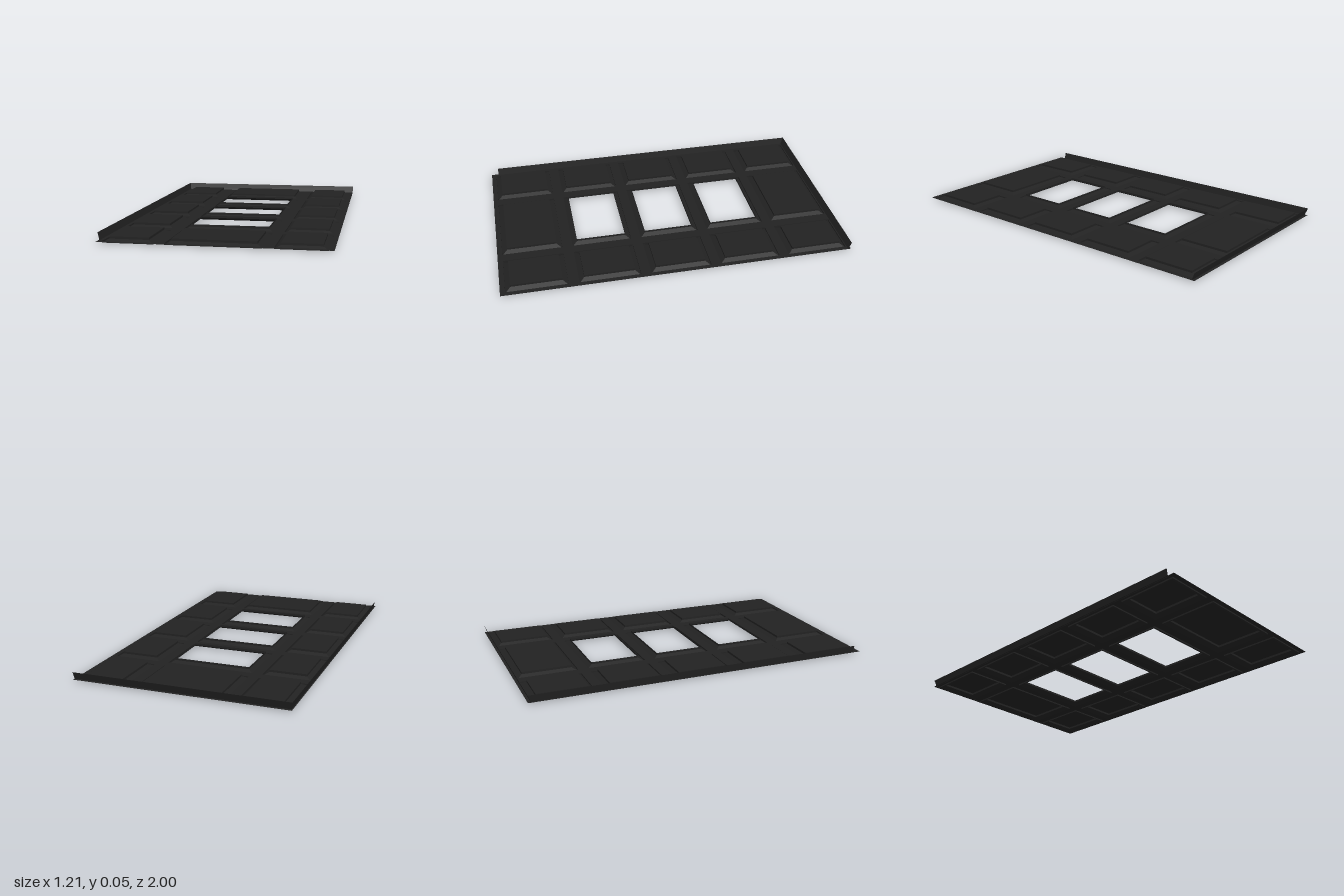
import * as THREE from 'three';

const black = new THREE.MeshStandardMaterial({ color: 0x222222, side: THREE.DoubleSide });
black.name = 'black';

const SHEET_Y = 0.008, FIELD_Y = 0.028;
const ROWS = [-0.805, -0.405, -0.005, 0.397, 0.8];
const HALF_DEPTH = 0.172, MARGIN = 0.03;
const COLUMNS = [
  { x: -0.443, half: 0.135 },
  { x: 0, half: 0.25 },
  { x: 0.443, half: 0.135 },
];

// Flat-shaded mesh from a list of four-cornered faces
function quads(name, faces) {
  const points = [];
  for (const [a, b, c, d] of faces) points.push(...a, ...b, ...c, ...a, ...c, ...d);
  const geometry = new THREE.BufferGeometry();
  geometry.setAttribute('position', new THREE.Float32BufferAttribute(points, 3));
  geometry.computeVertexNormals();
  const mesh = new THREE.Mesh(geometry, black);
  mesh.name = name;
  return mesh;
}

// Rectangle loop, counterclockwise seen from above
function loop(hx, hz, y) {
  return [[-hx, y, hz], [hx, y, hz], [hx, y, -hz], [-hx, y, -hz]];
}

// Pressed panel: a drop at the rim, a sloping border, then a raised field or an opening
function panel(name, half, open) {
  const loops = [
    loop(half, HALF_DEPTH, SHEET_Y),
    loop(half, HALF_DEPTH, 0),
    loop(half - MARGIN, HALF_DEPTH - MARGIN, 0.016),
    loop(half - MARGIN, HALF_DEPTH - MARGIN, FIELD_Y),
  ];
  const faces = [];
  for (let k = 0; k < loops.length - 1; k++) {
    for (let i = 0; i < 4; i++) {
      const j = (i + 1) % 4;
      faces.push([loops[k][i], loops[k][j], loops[k + 1][j], loops[k + 1][i]]);
    }
  }
  if (!open) faces.push(loops[3]);
  return quads(name, faces);
}

export function createModel() {
  const group = new THREE.Group();
  group.name = 'panelledDoor';

  // Thin sheet, cut out where the panels sit
  const outline = new THREE.Shape([
    new THREE.Vector2(-0.603, -1), new THREE.Vector2(0.605, -1),
    new THREE.Vector2(0.605, 1), new THREE.Vector2(-0.603, 1),
  ]);
  ROWS.forEach((z, row) => {
    COLUMNS.forEach(({ x, half }, column) => {
      outline.holes.push(new THREE.Path(
        loop(half, HALF_DEPTH, 0).map(([px, , pz]) => new THREE.Vector2(x + px, -z - pz))));
      const open = column === 1 && row > 0 && row < 4;
      const mesh = panel(open ? 'windowFrame' : 'panel', half, open);
      mesh.position.set(x, 0, z);
      group.add(mesh);
    });
  });
  const sheet = new THREE.Mesh(new THREE.ShapeGeometry(outline), black);
  sheet.name = 'sheet';
  sheet.rotation.x = -Math.PI / 2;
  sheet.position.y = SHEET_Y;
  group.add(sheet);

  // Upright flanges along the back and one side, leaning slightly outward
  group.add(quads('backFlange', [
    [[-0.596, 0.006, -0.983], [0.605, 0.006, -0.983], [0.605, 0.05, -1], [-0.605, 0.05, -1]],
  ]));
  group.add(quads('sideFlange', [
    [[-0.596, 0.006, 0.957], [-0.596, 0.006, -0.983], [-0.605, 0.05, -1], [-0.605, 0.05, 0.957]],
  ]));
  return group;
}
